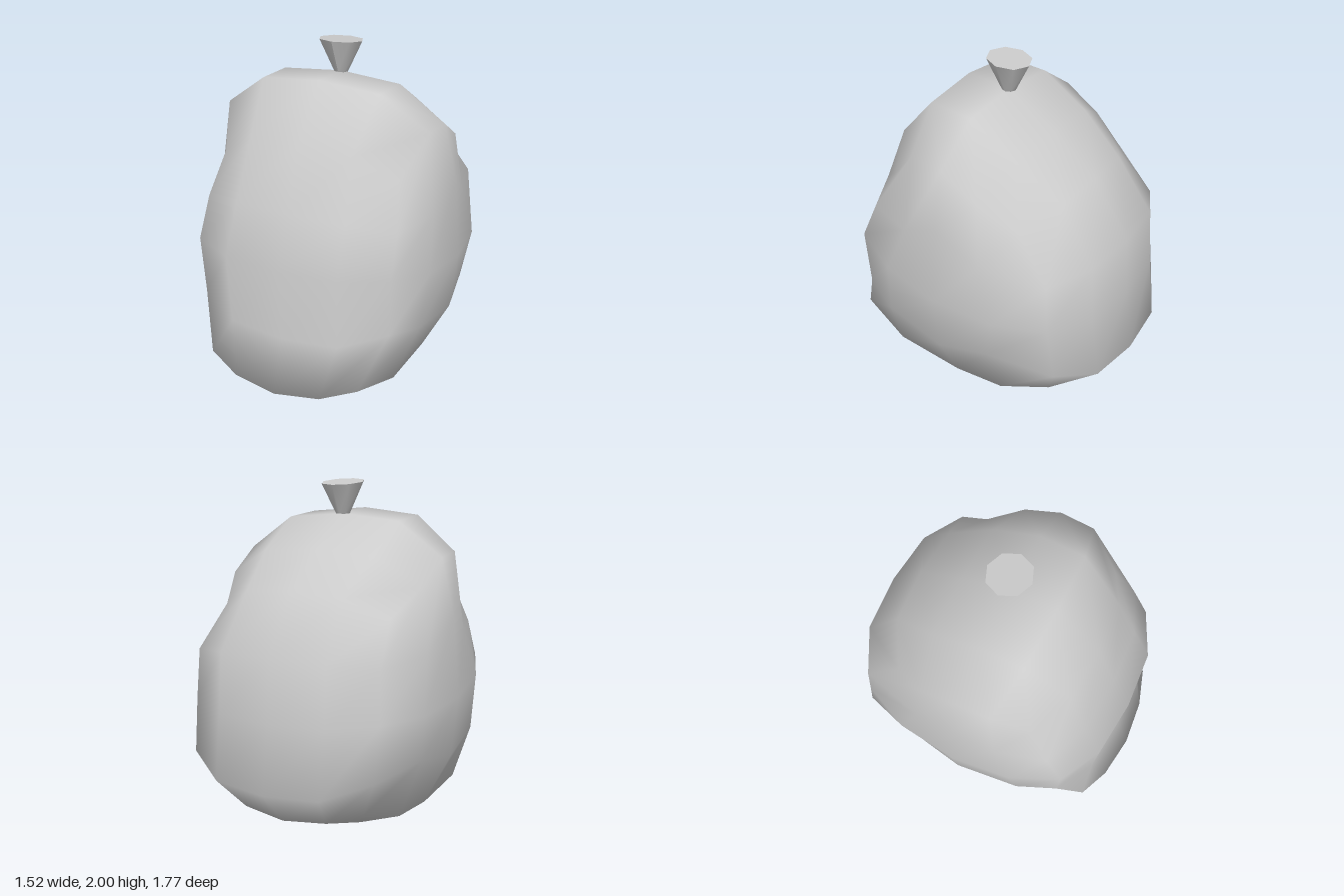
import * as THREE from 'three';
import { mergeVertices } from 'three/addons/utils/BufferGeometryUtils.js';

const material = new THREE.MeshStandardMaterial({ color: 0xcccccc });

// Side outline [z, y] on the centre plane, keyed by the four sides of a 4 x 4 grid
const top = [[-0.58, 1.41], [-0.3, 1.62], [0, 1.8], [0.28, 1.82], [0.55, 1.53]];
const bottom = [[-0.69, 0.12], [-0.36, 0.02], [0, 0], [0.51, 0.03], [0.89, 0.14]];
const back = [bottom[0], [-0.885, 0.33], [-0.83, 0.72], [-0.805, 1.08], top[0]];
const front = [bottom[4], [0.79, 0.45], [0.81, 0.89], [0.68, 1.18], top[4]];

function outline(w, v) {
  if (v === 2) return top[w + 2];
  if (v === -2) return bottom[w + 2];
  return (w === 2 ? front : back)[v + 2];
}

// Moves a grid point of the box (each coordinate -2..2) onto the stuffed sack
function sackPoint(u, v, w) {
  const side = Math.sign(u), a = Math.abs(u);
  if (Math.max(Math.abs(v), Math.abs(w)) < 2) {
    // bulging cheeks on the left and right
    if (!v && !w) return [side * 0.76, 0.78, 0];
    const [z, y] = outline(w * 2, v * 2);
    return [side * (v && w ? 0.68 : 0.72), 0.78 + (y - 0.78) * 0.46, z * 0.45];
  }
  // the outline shrinks towards the rounded side edges
  const [z, y] = outline(w, v);
  const edge = v === 2 ? 0.75 : v === -2 ? 0.88 : 0.8;
  const s = a === 2 ? edge : a === 1 ? 0.965 : 1;
  const corner = Math.abs(v) === 2 && Math.abs(w) === 2;
  const half = Math.abs(v) === 1 || Math.abs(w) === 1;
  const width = (v === 2 ? 0.64 : v === -2 ? 0.56 : 0.6) * (corner ? 0.84 : half ? 0.98 : 1);
  const x = side * width * (a === 2 ? 1 : 0.57);
  return [x, 0.9 + (y - 0.9) * s, z * s];
}

function createSack() {
  let geometry = new THREE.BoxGeometry(4, 4, 4, 4, 4, 4);
  geometry.deleteAttribute('uv');
  geometry.deleteAttribute('normal');
  geometry = mergeVertices(geometry);
  const p = geometry.attributes.position;
  for (let i = 0; i < p.count; i++) {
    p.setXYZ(i, ...sackPoint(Math.round(p.getX(i)), Math.round(p.getY(i)), Math.round(p.getZ(i))));
  }
  geometry.computeVertexNormals();
  const mesh = new THREE.Mesh(geometry, material);
  mesh.name = 'sack';
  return mesh;
}

// Flared tuft above the tie, with a slightly slanted rim
function createTuft() {
  const geometry = new THREE.CylinderGeometry(0.13, 0.042, 0.2, 8);
  const p = geometry.attributes.position;
  for (let i = 0; i < p.count; i++) {
    if (p.getY(i) > 0) p.setY(i, 0.085 + p.getZ(i) * 0.115);
  }
  geometry.computeVertexNormals();
  const mesh = new THREE.Mesh(geometry, material);
  mesh.name = 'tuft';
  mesh.position.y = 1.9;
  return mesh;
}

export function createModel() {
  const group = new THREE.Group();
  group.name = 'tiedSack';
  group.add(createSack(), createTuft());
  return group;
}
